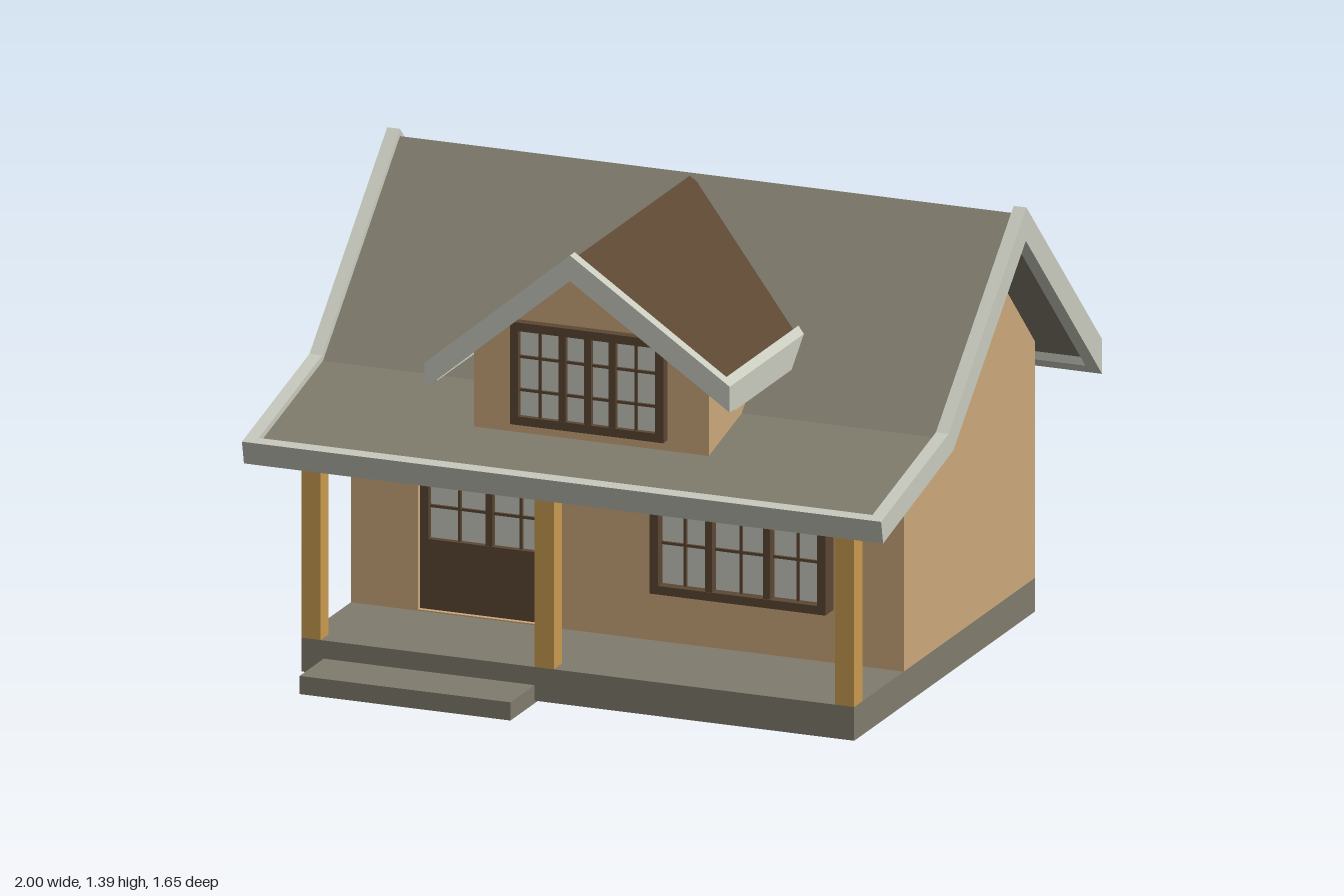
import * as THREE from 'three';

const mat = (name, color) => Object.assign(new THREE.MeshStandardMaterial({ color }), { name });

export function createModel() {
  const slate = mat('slate grey', 0x807c6d);
  const plaster = mat('tan plaster', 0xcba87b);
  const trim = mat('pale trim', 0xc9cabe);
  const wood = mat('golden wood', 0xc99b50);
  const brown = mat('dark brown', 0x5c4733);

  const model = new THREE.Group();
  model.name = 'cottage';

  const add = (name, geometry, material, parent = model) => {
    const mesh = new THREE.Mesh(geometry, material);
    mesh.name = name;
    parent.add(mesh);
    return mesh;
  };
  // Box given by its limits on each axis
  const box = (name, material, [x0, x1], [y0, y1], [z0, z1], parent) => {
    const g = new THREE.BoxGeometry(x1 - x0, y1 - y0, z1 - z0);
    g.translate((x0 + x1) / 2, (y0 + y1) / 2, (z0 + z1) / 2);
    return add(name, g, material, parent);
  };
  const outline = (points) => new THREE.Shape(points.map(([a, b]) => new THREE.Vector2(a, b)));
  const extrude = (shape, depth) => new THREE.ExtrudeGeometry(shape, { depth, bevelEnabled: false });
  // (z, y) profile swept along x
  const sweepX = (name, material, points, [x0, x1]) => {
    const g = extrude(outline(points.map(([z, y]) => [-z, y])), x1 - x0);
    return add(name, g.rotateY(Math.PI / 2).translate(x0, 0, 0), material);
  };
  // (x, y) profile swept along z
  const sweepZ = (name, material, points, [z0, z1]) =>
    add(name, extrude(outline(points), z1 - z0).translate(0, 0, z0), material);

  // Glazed unit centred on its origin, standing out along +z
  const glazing = (name, w, h, depth, thick, thin, rows) => {
    const group = new THREE.Group();
    group.name = name;
    const f = 0.026, x = w / 2, y = h / 2, glass = depth * 0.45;
    const frame = outline([[-x, -y], [x, -y], [x, y], [-x, y]]);
    frame.holes.push(outline([[-x + f, -y + f], [-x + f, y - f], [x - f, y - f], [x - f, -y + f]]));
    add('windowFrame', extrude(frame, depth), brown, group);
    box('glass', trim, [-x + f, x - f], [-y + f, y - f], [glass - 0.005, glass], group);
    for (const c of thick)
      box('mullion', brown, [c - 0.011, c + 0.011], [-y + f, y - f], [glass, depth * 0.95], group);
    for (const c of thin)
      box('glazingBar', brown, [c - 0.004, c + 0.004], [-y + f, y - f], [glass, glass + 0.009], group);
    for (const c of rows)
      box('crossBar', brown, [-x + f, x - f], [c - 0.004, c + 0.004], [glass, glass + 0.008], group);
    model.add(group);
    return group;
  };

  // Foundation, step and porch posts
  box('foundation', slate, [-0.9, 0.83], [0.008, 0.11], [-0.73, 0.62]);
  box('step', slate, [-0.83, -0.17], [0, 0.055], [0.6, 0.8]);
  for (const x of [-0.9, -0.17, 0.77])
    box('porchPost', wood, [x, x + 0.06], [0.11, 0.757], [0.56, 0.62]);

  // House body, with a front wall layer cut out for the doorway
  sweepX('houseWalls', plaster, [[-0.73, 0.11], [0.2, 0.11], [0.2, 0.72], [0.25, 0.72],
    [0.25, 0.85], [-0.258, 1.3], [-0.73, 0.825]], [-0.9, 0.83]);
  const front = outline([[-0.9, 0.11], [0.83, 0.11], [0.83, 0.72], [-0.9, 0.72]]);
  front.holes.push(outline([[-0.69, 0.114], [-0.69, 0.71], [-0.26, 0.71], [-0.26, 0.114]]));
  add('frontWall', extrude(front, 0.05).translate(0, 0, 0.2), plaster);

  // Door with glazed upper half
  box('door', brown, [-0.69, -0.26], [0.114, 0.3], [0.2, 0.235]);
  glazing('doorGlazing', 0.43, 0.41, 0.035, [0], [-0.096, 0.096], [0.13, 0.033, -0.082])
    .position.set(-0.475, 0.505, 0.2);

  // Windows
  const wide = [0.55, 0.39, 0.06, [-0.092, 0.09], [-0.175, 0, 0.178], [0.095, -0.045]];
  glazing('frontWindow', ...wide).position.set(0.335, 0.465, 0.25);
  const side = glazing('sideWindow', ...wide);
  side.position.set(-0.9, 0.505, -0.24);
  side.rotation.y = -Math.PI / 2;
  side.scale.z = 0.67;
  glazing('dormerWindow', 0.48, 0.31, 0.03, [-0.077, 0.002, 0.079], [-0.15, 0.15], [0.05, -0.05])
    .position.set(-0.02, 0.98, 0.56);

  // Main roof: slab, gable boards and eave boards
  sweepX('mainRoof', slate, [[-0.81, 0.812], [-0.26, 1.365], [0.315, 0.852], [0.8, 0.737],
    [0.8, 0.7], [0.29, 0.825], [-0.258, 1.31], [-0.81, 0.76]], [-0.97, 0.97]);
  const board = [[-0.825, 0.825], [-0.26, 1.387], [0.32, 0.87], [0.825, 0.75],
    [0.81, 0.68], [0.285, 0.81], [-0.256, 1.287], [-0.825, 0.72]];
  for (const x of [-1, 0.96]) sweepX('gableBoard', trim, board, [x, x + 0.04]);
  sweepX('frontEaveBoard', trim, [[0.825, 0.75], [0.81, 0.68], [0.778, 0.688], [0.793, 0.757]], [-0.96, 0.96]);
  sweepX('backEaveBoard', trim, [[-0.825, 0.825], [-0.825, 0.72], [-0.797, 0.748], [-0.797, 0.853]], [-0.96, 0.96]);

  // Dormer walls, stepped underneath so they stay within the main roof
  for (const [z, bottom] of [[[-0.2, 0.4], 0.825], [[0.4, 0.56], 0.785]])
    sweepZ('dormerWalls', plaster, [[-0.385, bottom], [0.35, bottom], [0.35, 1.04],
      [-0.045, 1.306], [-0.385, 1.02]], z);

  // Dormer roof with uneven slopes
  const slopes = [
    { end: -0.5, top: 1.0, inner: -0.475 },
    { end: 0.455, top: 1.043, inner: 0.43 },
  ];
  for (const { end, top, inner } of slopes) {
    const slope = (1.38 - top) / Math.abs(end + 0.045);
    const y = (x, drop) => 1.38 - drop - slope * Math.abs(x + 0.045);
    const strip = (x0, x1, upper, lower) =>
      [[x0, y(x0, upper)], [x1, y(x1, upper)], [x1, y(x1, lower)], [x0, y(x0, lower)]];
    sweepZ('dormerRoof', brown, strip(-0.045, inner, 0.018, 0.07), [-0.24, 0.625]);
    sweepZ('dormerBoard', trim, strip(-0.045, end, 0, 0.078), [0.62, 0.655]);
    sweepZ('dormerEaveBoard', trim, strip(inner, end, 0, 0.082), [0.05, 0.62]);
  }
  return model;
}
